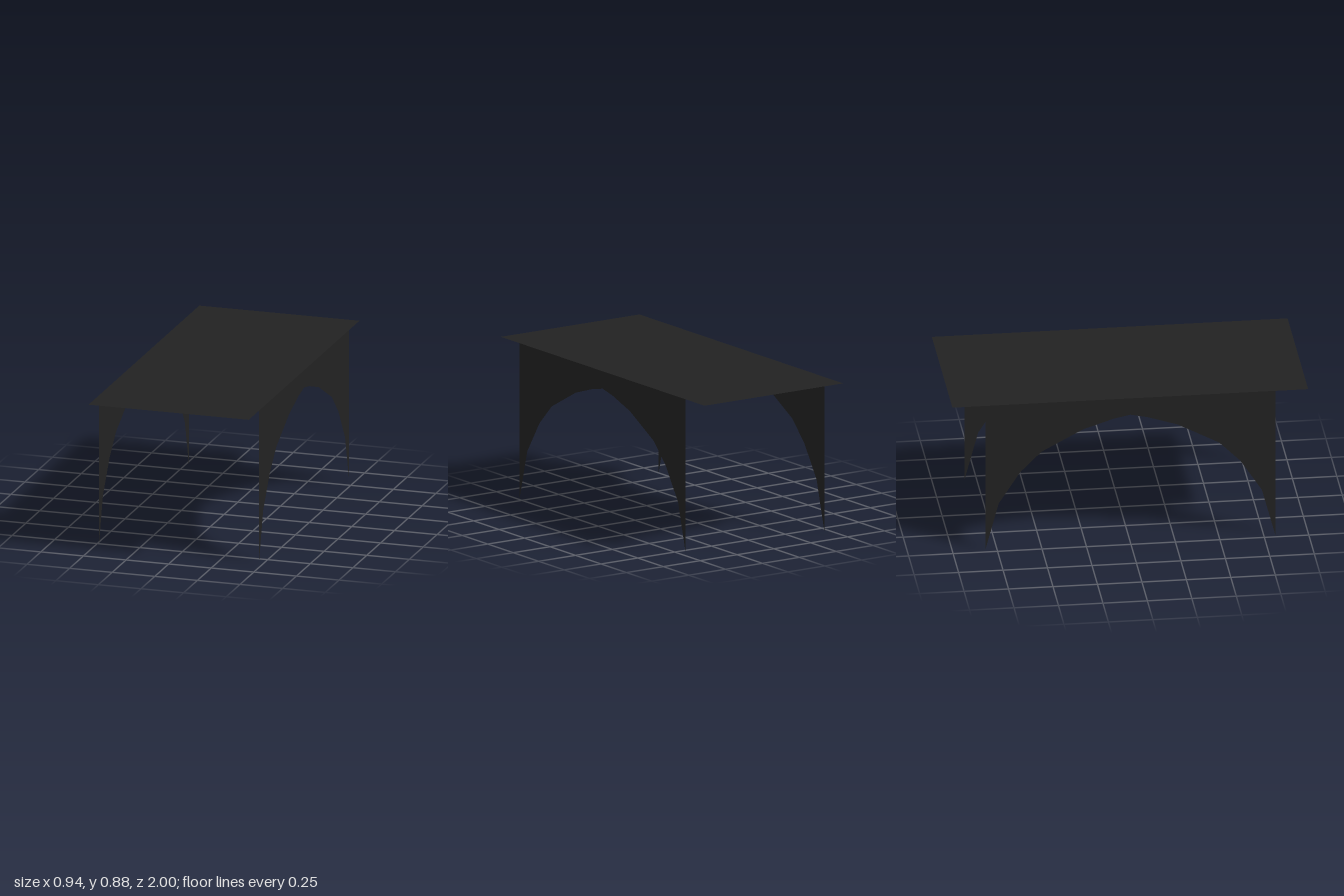
import * as THREE from 'three';

const HALF_WIDTH = 0.47, HEIGHT = 0.885, LEG_Z = 0.815;

export function createModel() {
  const group = new THREE.Group();
  group.name = 'archedTable';
  const charcoal = new THREE.MeshStandardMaterial({ color: 0x222222, side: THREE.DoubleSide });
  charcoal.name = 'charcoal';

  // Flat sheet top, overhanging the side panels at both ends
  const top = new THREE.Mesh(new THREE.PlaneGeometry(HALF_WIDTH * 2, 2).rotateX(-Math.PI / 2), charcoal);
  top.name = 'tableTop';
  top.position.y = HEIGHT;
  group.add(top);

  // Half of the faceted arch, from foot to crown
  const arch = [[0.74, 0.28], [0.62, 0.465], [0.5, 0.585], [0.265, 0.71], [0.095, 0.765]];
  const outline = [
    [-LEG_Z, 0], [-LEG_Z, HEIGHT], [LEG_Z, HEIGHT], [LEG_Z, 0],
    ...arch, [0, 0.785],
    ...arch.map(([z, y]) => [-z, y]).reverse(),
  ].map(([z, y]) => new THREE.Vector2(z, y));
  const panelGeometry = new THREE.ShapeGeometry(new THREE.Shape(outline)).rotateY(Math.PI / 2);

  // Sheet side panels, flush with the long edges of the top
  for (const [name, side] of [['leftSidePanel', 1], ['rightSidePanel', -1]]) {
    const panel = new THREE.Mesh(panelGeometry, charcoal);
    panel.name = name;
    panel.position.x = side * HALF_WIDTH;
    if (side < 0) panel.rotation.y = Math.PI;
    group.add(panel);
  }
  return group;
}
